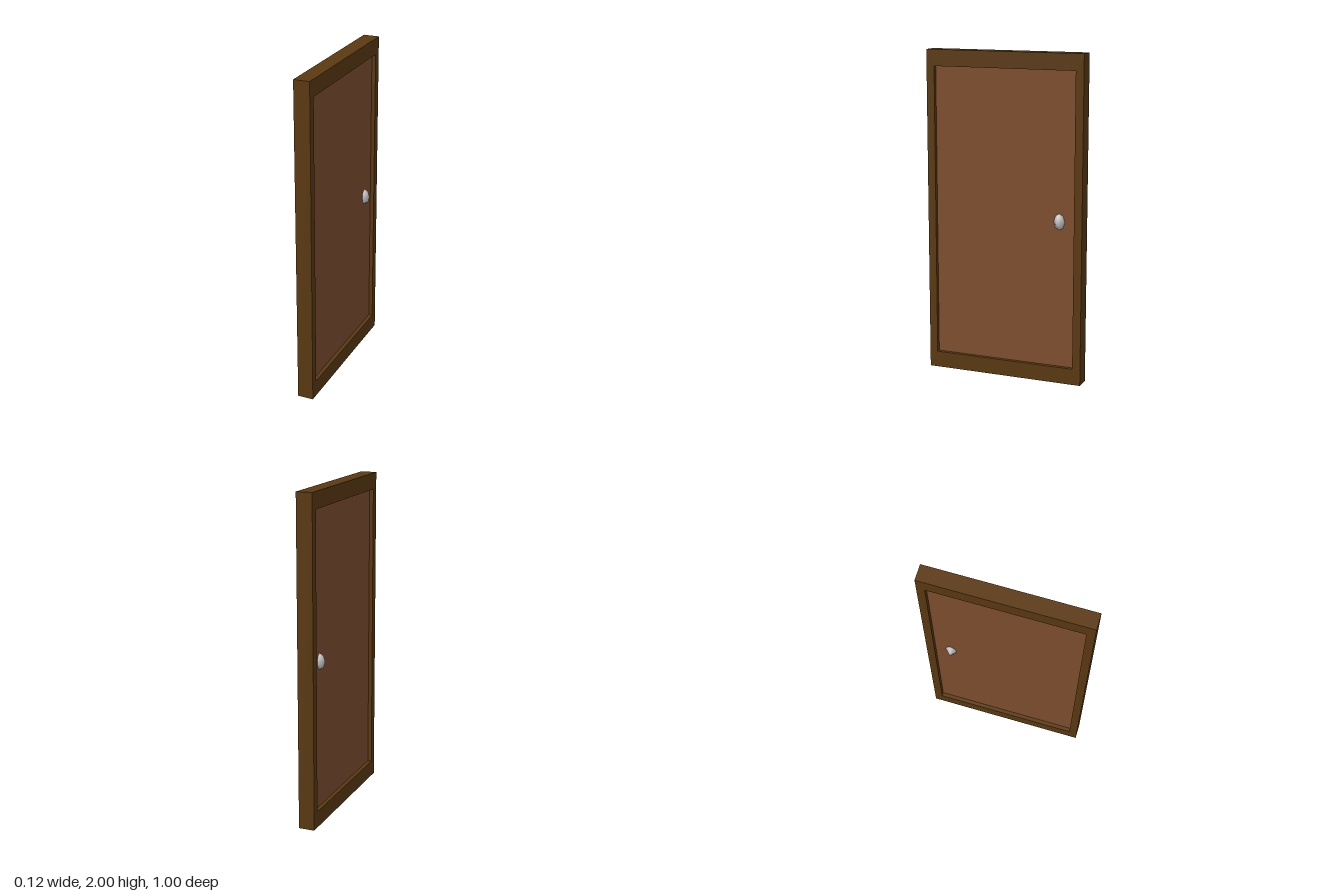
import * as THREE from 'three';

const WIDTH = 1, HEIGHT = 2, DEPTH = 0.098;

function rect(path, x, y0, y1) {
  path.moveTo(-x, y0);
  path.lineTo(x, y0);
  path.lineTo(x, y1);
  path.lineTo(-x, y1);
  path.closePath();
  return path;
}

export function createModel() {
  const model = new THREE.Group();
  model.name = 'door';

  const frameMat = new THREE.MeshStandardMaterial({ color: 0x5c3a12 });
  const panelMat = new THREE.MeshStandardMaterial({ color: 0x80502f });
  const knobMat = new THREE.MeshStandardMaterial({ color: 0xcccccc });

  // Frame: rectangular border with an opening, turned to face +x and -x
  const shape = rect(new THREE.Shape(), WIDTH / 2, 0, HEIGHT);
  shape.holes.push(rect(new THREE.Path(), 0.45, 0.1, 1.9));
  const frameGeo = new THREE.ExtrudeGeometry(shape, { depth: DEPTH, bevelEnabled: false });
  frameGeo.translate(0, 0, -DEPTH / 2).rotateY(Math.PI / 2);
  const frame = new THREE.Mesh(frameGeo, frameMat);
  frame.name = 'frame';
  model.add(frame);

  // Panel: thinner slab recessed on both sides
  const panel = new THREE.Mesh(new THREE.BoxGeometry(0.05, 1.8, 0.9), panelMat);
  panel.name = 'panel';
  panel.position.y = 1;
  model.add(panel);

  // Knobs: coarse, tall ellipsoids half sunk in each face
  const knobGeo = new THREE.SphereGeometry(1, 4, 4).scale(0.035, 0.05, 0.035);
  for (const side of [1, -1]) {
    const knob = new THREE.Mesh(knobGeo, knobMat);
    knob.name = side > 0 ? 'leftKnob' : 'rightKnob';
    knob.position.set(side * 0.025, 1, -0.35);
    model.add(knob);
  }

  // The door stands very slightly ajar
  model.rotation.y = 0.0155;
  model.position.x = 0.004;

  const root = new THREE.Group();
  root.name = 'doorModel';
  root.add(model);
  return root;
}
